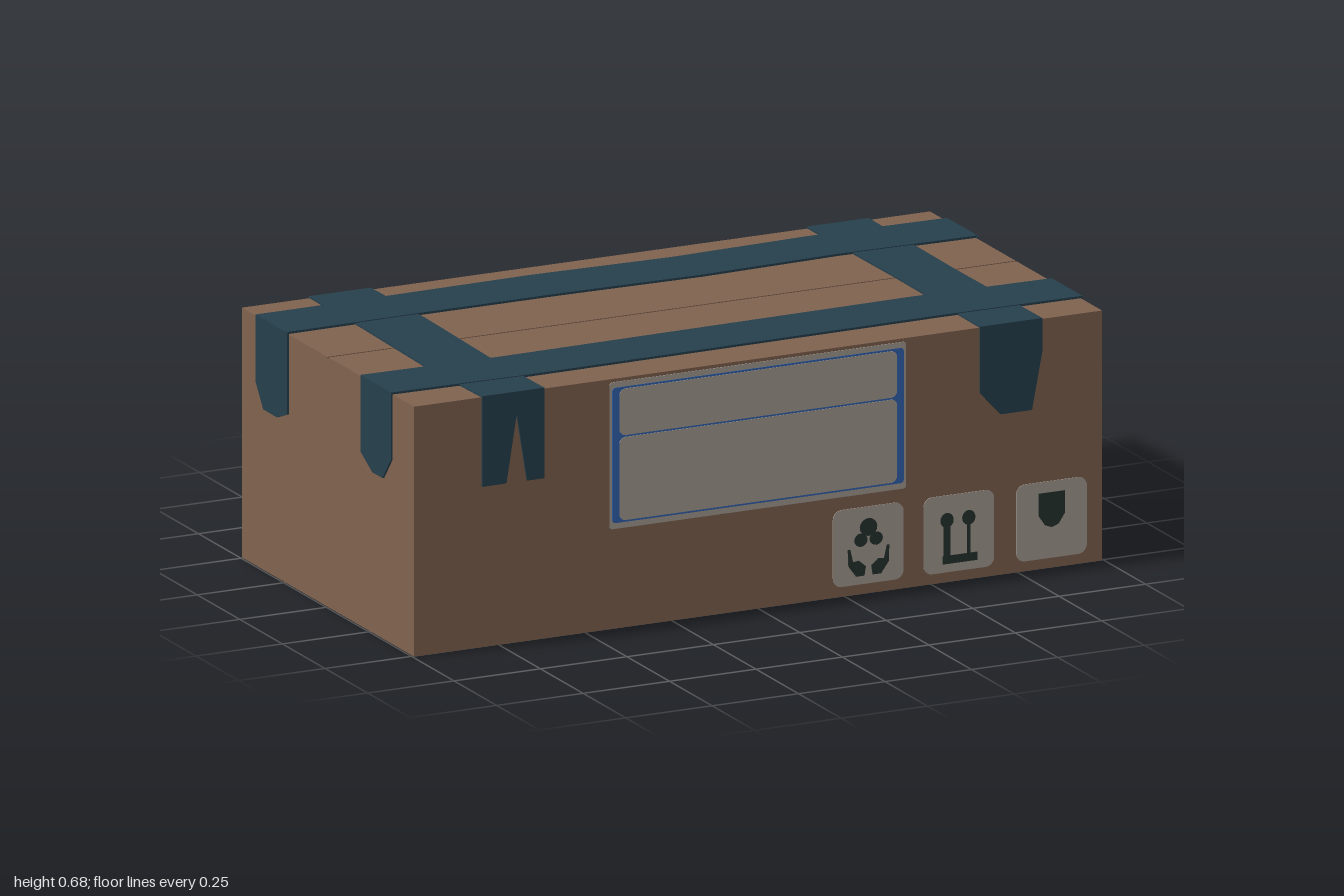
import * as THREE from 'three';

const mat = (name, color) => {
  const m = new THREE.MeshStandardMaterial({ color });
  m.name = name;
  return m;
};

const W = 0.995, D = 0.505, H = 0.676; // half width, half depth, height of the carton

export function createModel() {
  const root = new THREE.Group();
  root.name = 'cardboardBox';
  const cardboard = mat('cardboard', 0x80624f);
  const tape = mat('tape', 0x263f4c);
  const paper = mat('paper', 0xa69c93);
  const blue = mat('labelBlue', 0x3263b0);
  const ink = mat('ink', 0x26322f);

  // thin plate cut from an outline, laid on one face of the box
  const faces = {
    front: [[0, 0, 0], [0, 0, D]],
    back: [[0, Math.PI, 0], [0, 0, -D]],
    left: [[0, Math.PI / 2, 0], [W, 0, 0]],
    right: [[0, -Math.PI / 2, 0], [-W, 0, 0]],
    top: [[-Math.PI / 2, 0, 0], [0, H, 0]],
  };
  function plate(name, shape, face, material, depth = 0.005) {
    const geo = new THREE.ExtrudeGeometry(shape, { depth, bevelEnabled: false, curveSegments: 8 });
    const mesh = new THREE.Mesh(geo, material);
    mesh.rotation.set(...faces[face][0]);
    mesh.position.set(...faces[face][1]);
    mesh.name = name;
    root.add(mesh);
  }
  const poly = (pts) => new THREE.Shape(pts.map(([x, y]) => new THREE.Vector2(x, y)));
  function roundRect(x0, y0, x1, y1, r) {
    const s = new THREE.Shape();
    s.absarc(x1 - r, y1 - r, r, 0, Math.PI / 2);
    s.absarc(x0 + r, y1 - r, r, Math.PI / 2, Math.PI);
    s.absarc(x0 + r, y0 + r, r, Math.PI, Math.PI * 1.5);
    s.absarc(x1 - r, y0 + r, r, Math.PI * 1.5, Math.PI * 2);
    return s;
  }
  function disc(x, y, rx, ry = rx) {
    const s = new THREE.Shape();
    s.absellipse(x, y, rx, ry, 0, Math.PI * 2);
    return s;
  }
  function block(name, w, h, d, y, z) {
    const mesh = new THREE.Mesh(new THREE.BoxGeometry(w, h, d), cardboard);
    mesh.position.set(0, y, z);
    mesh.name = name;
    root.add(mesh);
  }

  // carton with two lid flaps that leave a narrow seam
  const lid = 0.006, gap = 0.006;
  block('carton', 2 * W, H - lid, 2 * D, (H - lid) / 2, 0);
  for (const s of [1, -1]) {
    block(s > 0 ? 'frontFlap' : 'backFlap', 2 * W, lid, D - gap / 2, H - lid / 2, s * (D + gap / 2) / 2);
  }

  // strips of tape across the lid, outlines given as [x, z]
  const strip = (name, pts, depth) => plate(name, poly(pts.map(([x, z]) => [x, -z])), 'top', tape, depth);
  strip('frontLongTape', [[-1, 0.2], [-0.6, 0.21], [0.6, 0.19], [1, 0.2], [1, 0.38], [0.6, 0.375], [-0.6, 0.39], [-1, 0.38]], 0.006);
  strip('backLongTape', [[-1, -0.415], [-0.6, -0.418], [-0.2, -0.425], [0.2, -0.41], [0.6, -0.425], [1, -0.415],
    [1, -0.235], [0.6, -0.245], [0.2, -0.23], [-0.2, -0.24], [-0.6, -0.24], [-1, -0.235]], 0.006);
  strip('rightCrossTape', [[-0.8, -0.51], [-0.62, -0.51], [-0.615, -0.2], [-0.625, 0.2], [-0.62, 0.51], [-0.8, 0.51], [-0.81, 0.2], [-0.8, -0.2]], 0.004);
  strip('leftCrossTape', [[0.64, -0.51], [0.82, -0.51], [0.815, 0], [0.82, 0.51], [0.64, 0.51], [0.645, 0]], 0.004);

  // torn tape ends: [name, face, sign from world axis to face axis, lower edge]
  const ends = [
    ['frontRightTapeEnd', 'front', 1, [[-0.8, 0.435], [-0.73, 0.435], [-0.7, 0.62], [-0.67, 0.435], [-0.62, 0.435]]],
    ['frontLeftTapeEnd', 'front', 1, [[0.64, 0.5], [0.7, 0.435], [0.79, 0.435], [0.82, 0.59]]],
    ['backLeftTapeEnd', 'back', -1, [[0.82, 0.5], [0.76, 0.44], [0.73, 0.44], [0.705, 0.5], [0.68, 0.435], [0.64, 0.435]]],
    ['backRightTapeEnd', 'back', -1, [[-0.62, 0.47], [-0.69, 0.435], [-0.74, 0.435], [-0.8, 0.48]]],
    ['leftFrontTapeEnd', 'left', -1, [[0.38, 0.437], [0.305, 0.437], [0.27, 0.513], [0.24, 0.455], [0.2, 0.48]]],
    ['leftBackTapeEnd', 'left', -1, [[-0.23, 0.437], [-0.415, 0.437]]],
    ['rightBackTapeEnd', 'right', 1, [[-0.415, 0.5], [-0.37, 0.437], [-0.29, 0.437], [-0.23, 0.46]]],
    ['rightFrontTapeEnd', 'right', 1, [[0.2, 0.475], [0.27, 0.437], [0.33, 0.437], [0.38, 0.5]]],
  ];
  for (const [name, face, s, edge] of ends) {
    const a = edge[0][0], b = edge[edge.length - 1][0], t = H + 0.004;
    plate(name, poly([[a, t], ...edge, [b, t]].map(([u, y]) => [u * s, y])), face, tape);
  }

  // address label: paper, blue frame, two writing panels
  plate('labelPaper', roundRect(-0.43, 0.27, 0.427, 0.667, 0.008), 'front', paper, 0.002);
  plate('labelFrame', roundRect(-0.423, 0.286, 0.42, 0.652, 0.01), 'front', blue, 0.0035);
  plate('labelUpperPanel', roundRect(-0.403, 0.521, 0.4, 0.647, 0.018), 'front', paper, 0.005);
  plate('labelLowerPanel', roundRect(-0.403, 0.291, 0.4, 0.516, 0.018), 'front', paper, 0.005);

  // handling stickers
  const stickers = [0.318, 0.58, 0.848], sy = 0.131;
  for (const x of stickers) plate('sticker', roundRect(x - 0.102, sy - 0.104, x + 0.102, sy + 0.104, 0.025), 'front', paper, 0.002);
  const sign = (name, shape) => plate(name, shape, 'front', ink, 0.004);

  // sign 1: parcel between two hands
  const [a, b, c] = stickers;
  sign('parcelTop', disc(a, 0.18, 0.025, 0.024));
  for (const s of [-1, 1]) {
    sign('parcelSide', disc(a + s * 0.022, 0.147, 0.019, 0.018));
    sign('hand', poly([[0.012, 0.05], [0.008, 0.075], [0.028, 0.092], [0.045, 0.09], [0.053, 0.125],
      [0.06, 0.125], [0.058, 0.08], [0.036, 0.05]].map(([u, y]) => [a + s * u, y])));
  }
  // sign 2: two upright arrows on a bar
  sign('arrowBar', poly([[b - 0.047, 0.05], [b + 0.052, 0.05], [b + 0.052, 0.072], [b - 0.047, 0.072]]));
  for (const [x, w] of [[-0.035, 0.01], [0.028, 0.005]]) {
    sign('arrowHead', disc(b + x, 0.168, 0.019, 0.02));
    sign('arrowStem', poly([[b + x - w, 0.06], [b + x + w, 0.06], [b + x + w, 0.16], [b + x - w, 0.16]]));
  }
  // sign 3: cup
  sign('cup', poly([[-0.038, 0.205], [-0.038, 0.145], [-0.02, 0.118], [0, 0.11], [0.02, 0.118], [0.038, 0.145], [0.038, 0.205]]
    .map(([u, y]) => [c + u, y])));

  return root;
}
